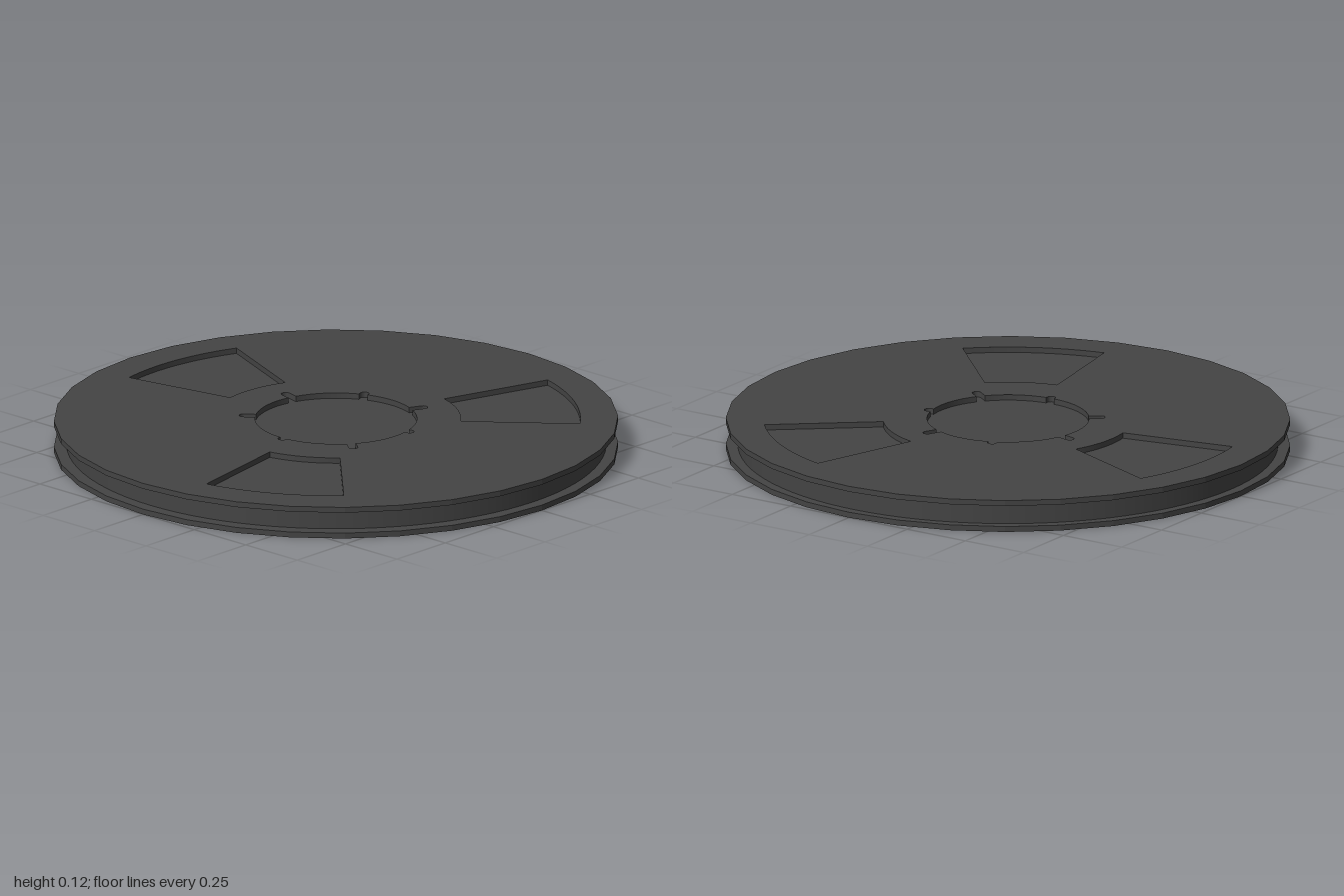
import * as THREE from 'three';

const RAD = Math.PI / 180;
const HEIGHT = 0.116, PLATE = 0.02;

// Rim outline shared by both flanges: a regular 32-sided polygon
function rimShape() {
  const points = [];
  for (let i = 0; i < 32; i++) {
    const a = (i / 32) * Math.PI * 2;
    points.push(new THREE.Vector2(Math.cos(a), Math.sin(a)));
  }
  return new THREE.Shape(points);
}

// Ring-sector window cut from the top flange
function windowHole(startDeg, sweepDeg) {
  const a = startDeg * RAD, b = (startDeg + sweepDeg) * RAD;
  const path = new THREE.Path();
  path.absarc(0, 0, 0.866, a, b, false);
  path.absarc(0, 0, 0.443, b, a, true);
  path.closePath();
  return path;
}

// Round hub opening with round-ended notches, each [angle, tip radius]
function hubHole(radius, halfWidth, notches) {
  const path = new THREE.Path();
  const spread = Math.asin(halfWidth / radius);
  notches.forEach(([deg, tip], i) => {
    const a = deg * RAD;
    const last = i === notches.length - 1;
    const next = (last ? notches[0][0] + 360 : notches[i + 1][0]) * RAD;
    const c = tip - halfWidth;
    path.absarc(c * Math.cos(a), c * Math.sin(a), halfWidth, a - Math.PI / 2, a + Math.PI / 2, false);
    path.absarc(0, 0, radius, a + spread, next - spread, false);
  });
  path.closePath();
  return path;
}

// Extrude an x-z outline downward from the given height
function plate(name, shape, top, material) {
  const geometry = new THREE.ExtrudeGeometry(shape, { depth: PLATE, bevelEnabled: false, curveSegments: 16 });
  geometry.rotateX(Math.PI / 2).translate(0, top, 0);
  const mesh = new THREE.Mesh(geometry, material);
  mesh.name = name;
  return mesh;
}

export function createModel() {
  const group = new THREE.Group();
  group.name = 'reel';
  const material = new THREE.MeshStandardMaterial({ color: 0x444444 });

  // Top flange with three windows and the notched hub opening
  const top = rimShape();
  for (const start of [45, 169, 286.8]) top.holes.push(windowHole(start, 33.8));
  top.holes.push(hubHole(0.287, 0.016, [
    [-166, 0.345], [-113.5, 0.315], [-65.5, 0.35], [-14, 0.315],
    [36, 0.345], [87, 0.31], [143, 0.345],
  ]));
  group.add(plate('topFlange', top, HEIGHT, material));

  // Solid bottom flange
  group.add(plate('bottomFlange', rimShape(), PLATE, material));

  // Wound core between the flanges, slightly off centre
  const coreHeight = HEIGHT - 2 * PLATE;
  const core = new THREE.Mesh(new THREE.CylinderGeometry(0.957, 0.957, coreHeight, 96), material);
  core.position.set(-0.004, HEIGHT / 2, -0.006);
  core.name = 'woundCore';
  group.add(core);

  return group;
}
